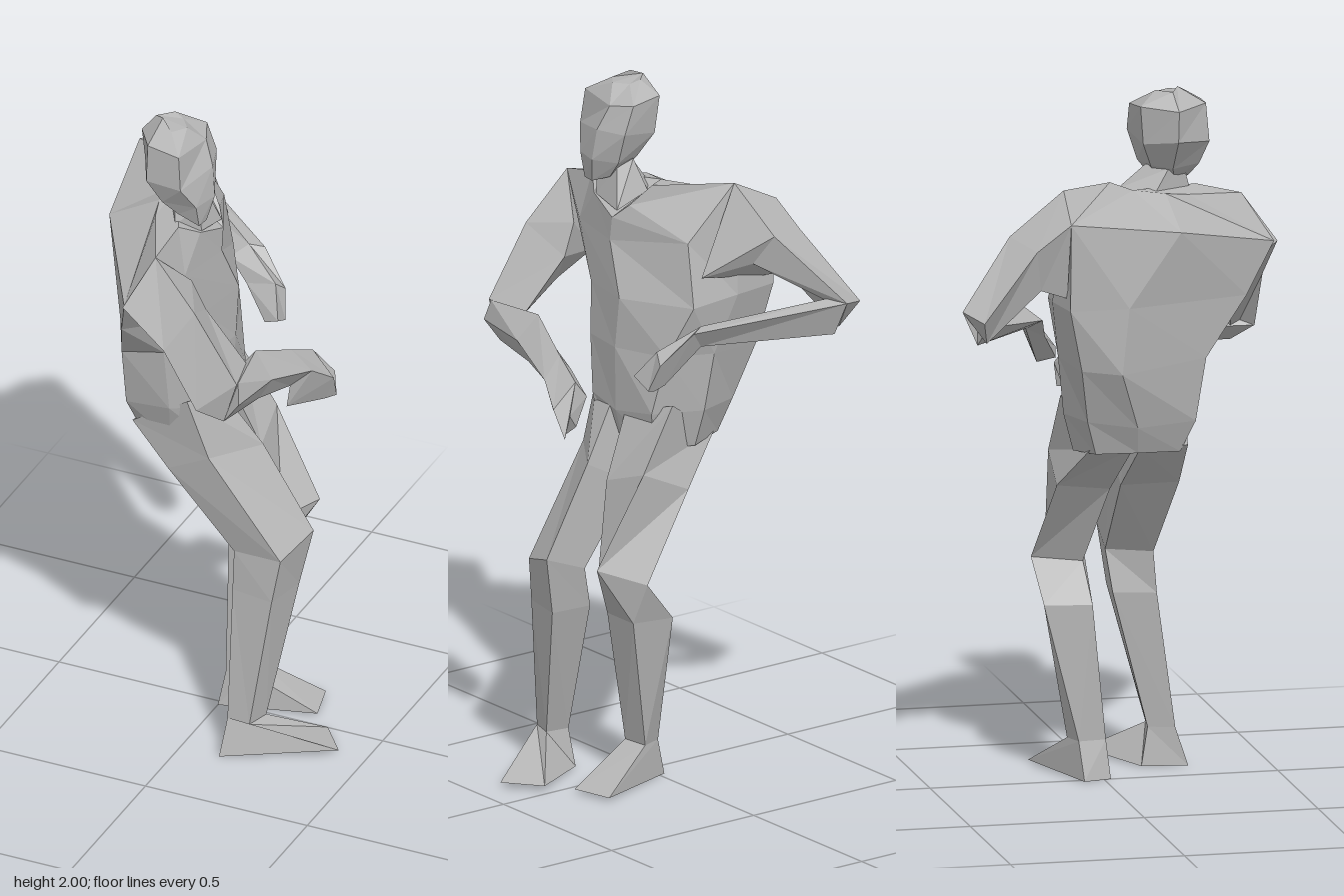
import * as THREE from 'three';

const grey = new THREE.MeshStandardMaterial({ color: 0xb4b4b4, flatShading: true });
grey.name = 'plain grey';

// Skins a list of cross-sections (loops of [x, y, z]) and closes both ends.
function loft(name, rings) {
  const n = rings[0].length;
  const tris = [];
  const add = (a, b, c) => tris.push([a, b, c]);
  for (let r = 0; r < rings.length - 1; r++) {
    for (let i = 0; i < n; i++) {
      const j = (i + 1) % n;
      const a = rings[r][i], b = rings[r][j], c = rings[r + 1][j], d = rings[r + 1][i];
      add(a, b, c);
      add(a, c, d);
    }
  }
  const last = rings[rings.length - 1];
  for (let i = 1; i < n - 1; i++) {
    add(rings[0][0], rings[0][i + 1], rings[0][i]);
    add(last[0], last[i], last[i + 1]);
  }
  // Signed volume tells whether the corners need reversing to face outward.
  const v = (p) => new THREE.Vector3(...p);
  const volume = tris.reduce((s, [a, b, c]) => s + v(a).dot(v(b).cross(v(c))), 0);
  if (volume < 0) tris.forEach((t) => t.reverse());
  const geometry = new THREE.BufferGeometry();
  geometry.setAttribute('position', new THREE.Float32BufferAttribute(tris.flat(2), 3));
  geometry.computeVertexNormals();
  const mesh = new THREE.Mesh(geometry, grey);
  mesh.name = name;
  return mesh;
}

export function createModel() {
  const figure = new THREE.Group();
  figure.name = 'figure';
  const part = (name, ...rings) => figure.add(loft(name, rings));

  // Torso: collar, shoulders, chest, waist, hips, crotch
  part('torso',
    [[-.1, 1.71, .06], [-.12, 1.7, .15], [-.1, 1.69, .22], [-.01, 1.7, .26], [.03, 1.66, .2], [.05, 1.62, .09], [.02, 1.66, .05], [-.03, 1.72, .01]],
    [[-.33, 1.67, -.17], [-.27, 1.62, .16], [-.08, 1.54, .47], [-.02, 1.67, .39], [.02, 1.56, .28], [.05, 1.55, .1], [-.05, 1.58, -.13], [-.19, 1.74, -.16]],
    [[-.32, 1.42, -.17], [-.32, 1.42, 0], [-.13, 1.4, .38], [-.05, 1.4, .31], [.04, 1.4, .2], [.07, 1.4, .03], [-.04, 1.4, -.17], [-.18, 1.42, -.19]],
    [[-.29, 1.24, -.13], [-.32, 1.23, -.02], [-.19, 1.24, .25], [-.06, 1.27, .25], [.05, 1.25, .19], [.07, 1.25, .05], [.01, 1.25, -.11], [-.12, 1.25, -.16]],
    [[-.23, 1.08, -.1], [-.25, 1.06, .04], [-.19, 1.06, .22], [-.05, 1.08, .235], [.05, 1.08, .18], [.06, 1.06, .06], [.04, 1.08, -.08], [-.1, 1.08, -.14]],
    [[-.2, .98, -.07], [-.21, .98, .05], [-.17, .97, .18], [-.07, .95, .19], [.04, .96, .16], [.03, .95, .06], [.02, .97, -.06], [-.09, .97, -.11]]);

  // Head: crown down to chin
  part('head',
    [[-.12, 1.99, .17], [-.08, 1.99, .13], [-.05, 1.98, .14], [-.02, 1.98, .18], [-.05, 1.98, .22], [-.09, 2, .19]],
    [[-.16, 1.94, .18], [-.11, 1.95, .08], [-.01, 1.94, .07], [.02, 1.93, .14], [0, 1.94, .28], [-.1, 1.95, .27]],
    [[-.15, 1.85, .18], [-.1, 1.84, .09], [.02, 1.86, .07], [.05, 1.86, .16], [.01, 1.84, .29], [-.1, 1.84, .28]],
    [[-.08, 1.76, .18], [-.06, 1.77, .12], [.02, 1.77, .1], [.06, 1.77, .17], [.04, 1.77, .25], [-.06, 1.77, .26]],
    [[-.05, 1.73, .19], [-.02, 1.73, .14], [.02, 1.72, .14], [.045, 1.7, .19], [.04, 1.7, .23], [-.02, 1.73, .24]]);
  part('neck',
    [[-.07, 1.76, .17], [-.04, 1.77, .11], [.01, 1.75, .12], [.02, 1.74, .2], [-.04, 1.76, .22]],
    [[-.1, 1.69, .12], [-.03, 1.7, .03], [.04, 1.64, .08], [.03, 1.66, .19], [-.03, 1.69, .24]]);

  // Arm on the +z side, forearm folded across the front
  part('nearUpperArm',
    [[-.02, 1.67, .39], [-.08, 1.54, .48], [-.08, 1.43, .35], [.04, 1.55, .28]],
    [[.11, 1.53, .41], [.04, 1.42, .465], [.03, 1.36, .37], [.08, 1.46, .27]],
    [[.24, 1.33, .41], [.14, 1.25, .465], [.2, 1.2, .41], [.21, 1.32, .28]]);
  part('nearForearmAndHand',
    [[.24, 1.33, .4], [.25, 1.27, .42], [.2, 1.2, .41], [.14, 1.25, .46]],
    [[.21, 1.33, .22], [.27, 1.26, .24], [.23, 1.19, .24], [.15, 1.25, .27]],
    [[.25, 1.26, .07], [.31, 1.2, .06], [.26, 1.16, .1], [.21, 1.21, .07]],
    [[.27, 1.21, -.03], [.34, 1.14, -.02], [.25, 1.09, .1], [.23, 1.16, -.03]],
    [[.32, 1.13, -.07], [.33, 1.06, -.06], [.31, 1.06, -.03], [.29, 1.09, -.06]]);

  // Arm on the -z side, elbow thrown back and hand at the waist
  part('farUpperArm',
    [[-.19, 1.74, -.16], [-.33, 1.67, -.17], [-.28, 1.45, -.17], [-.06, 1.49, -.18]],
    [[-.21, 1.62, -.32], [-.34, 1.6, -.27], [-.3, 1.48, -.25], [-.18, 1.53, -.26]],
    [[-.34, 1.44, -.485], [-.42, 1.42, -.44], [-.36, 1.35, -.42], [-.31, 1.44, -.42]]);
  part('farForearmAndHand',
    [[-.33, 1.45, -.44], [-.34, 1.44, -.485], [-.33, 1.34, -.44], [-.38, 1.4, -.42]],
    [[-.02, 1.37, -.23], [.02, 1.36, -.25], [-.02, 1.31, -.23], [-.06, 1.34, -.19]],
    [[.09, 1.3, -.17], [.105, 1.27, -.205], [.07, 1.2, -.18], [0, 1.28, -.17]],
    [[.125, 1.22, -.11], [.12, 1.19, -.17], [.1, 1.185, -.17], [.08, 1.2, -.12]]);

  // Legs: hip, thigh, knee, calf, ankle; each foot runs from ankle to sole
  const leg = (side, hip, thigh, knee, calf, ankle, sole) => {
    part(side + 'Leg', hip, thigh, knee, calf, ankle);
    part(side + 'Foot', ankle, sole);
  };
  leg('near',
    [[-.18, .99, .2], [0, 1.11, .225], [.055, 1.07, .09], [-.15, .98, .07]],
    [[-.07, .86, .2], [.06, .93, .21], [.16, .92, .06], [.01, .84, .05]],
    [[.12, .62, .17], [.27, .63, .185], [.31, .67, .05], [.18, .62, .045]],
    [[.12, .5, .18], [.25, .5, .2], [.275, .5, .07], [.15, .5, .06]],
    [[.13, .11, .235], [.2, .11, .24], [.22, .11, .17], [.15, .11, .16]],
    [[.12, 0, .27], [.42, .015, .12], [.34, .015, .02], [.14, 0, .14]]);
  leg('far',
    [[-.18, .99, -.08], [0, 1.11, -.125], [.05, 1.06, .03], [-.15, .98, .05]],
    [[-.04, .86, -.145], [.11, .93, -.135], [.13, .88, .01], [-.03, .84, .01]],
    [[.13, .62, -.18], [.255, .67, -.11], [.18, .64, -.02], [.09, .61, -.04]],
    [[.03, .5, -.165], [.15, .5, -.14], [.15, .5, -.02], [.01, .5, -.03]],
    [[.01, .11, -.07], [.07, .11, -.09], [.08, .11, -.01], [.02, .11, .01]],
    [[-.02, 0, -.06], [.25, .01, -.16], [.28, .01, -.04], [0, 0, .02]]);

  return figure;
}
